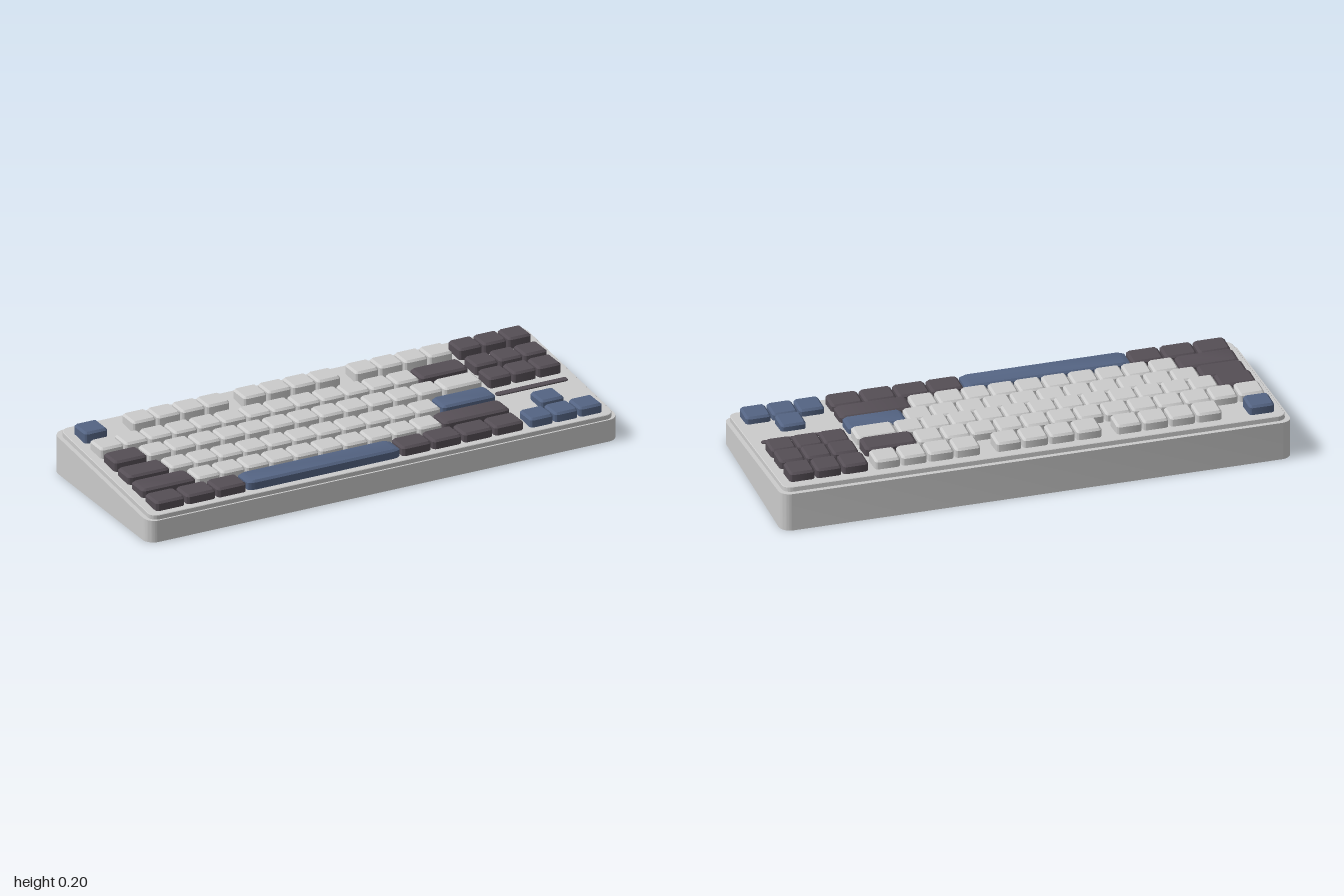
import * as THREE from 'three';
import { toCreasedNormals } from 'three/addons/utils/BufferGeometryUtils.js';

const material = (color) => new THREE.MeshStandardMaterial({ color });
const TILT = THREE.MathUtils.degToRad(5);

// Rounded rectangle slab lying in the xz plane, from y = 0 to y = h, with chamfered rims
function slab(w, d, h, r, bevel = 0, curveSegments = 4) {
  const x = w / 2, z = d / 2;
  const s = new THREE.Shape();
  s.moveTo(-x + r, -z);
  s.lineTo(x - r, -z);
  s.absarc(x - r, -z + r, r, -Math.PI / 2, 0);
  s.lineTo(x, z - r);
  s.absarc(x - r, z - r, r, 0, Math.PI / 2);
  s.lineTo(-x + r, z);
  s.absarc(-x + r, z - r, r, Math.PI / 2, Math.PI);
  s.lineTo(-x, -z + r);
  s.absarc(-x + r, -z + r, r, Math.PI, Math.PI * 1.5);
  const geo = new THREE.ExtrudeGeometry(s, {
    depth: h - 2 * bevel, curveSegments, bevelEnabled: bevel > 0,
    bevelSize: bevel, bevelOffset: -bevel, bevelThickness: bevel, bevelSegments: 1,
  });
  geo.translate(0, 0, bevel);
  geo.rotateX(-Math.PI / 2);
  return geo;
}

export function createModel() {
  const model = new THREE.Group();
  const grey = material(0xcccccc), dark = material(0x554e55), blue = material(0x546483);
  const colors = { g: grey, d: dark, b: blue };

  const add = (name, geo, mat, x = 0, y = 0, z = 0, parent = model) => {
    const mesh = new THREE.Mesh(geo, mat);
    mesh.name = name;
    mesh.position.set(x, y, z);
    parent.add(mesh);
    return mesh;
  };

  // Wedge case: the upper rim drops toward the front
  const caseGeo = slab(2, 0.76, 0.12, 0.045, 0, 8);
  const p = caseGeo.attributes.position;
  for (let i = 0; i < p.count; i++) {
    if (p.getY(i) > 0.06) p.setY(i, 0.1215 - 0.0875 * p.getZ(i));
  }
  add('case', toCreasedNormals(caseGeo, 0.6), grey);

  // Tilted top plate; its upper surface passes through y = 0.14 at z = 0.009
  const plate = add('topPlate', toCreasedNormals(slab(1.965, 0.735, 0.03, 0.035, 0.002, 8), 0.6), grey);
  plate.rotation.x = TILT;
  plate.position.set(0, 0.14 - 0.03 * Math.cos(TILT), 0.009 - 0.03 * Math.sin(TILT));

  // Accent bar between the navigation block and the arrows
  const bar = add('accentBar', toCreasedNormals(slab(0.304, 0.026, 0.02, 0.011, 0.002), 0.6), dark, 0.791, 0.12, 0.07);
  bar.rotation.x = TILT;

  // Keycaps: wider caps have proportionally longer rounded ends
  const PITCH = 0.1045, GAP = 0.0065, LEFT = -0.952, HEIGHT = 0.055;
  const cache = {};
  const keyGeometry = (units) => {
    if (!cache[units]) {
      const stretch = Math.sqrt(units);
      const geo = slab((units * PITCH - GAP) / stretch, 0.098, HEIGHT, 0.015, 0.008);
      geo.scale(stretch, 1, 1);
      cache[units] = toCreasedNormals(geo, 0.6);
    }
    return cache[units];
  };

  // Each run: [start in key units, colour, count, width in key units]
  const nav = [15.2, 'd', 3, 1];
  const rows = [
    { name: 'functionRow', z: -0.264, top: 0.205,
      runs: [[0, 'b', 1, 1], [1.96, 'g', 4, 1], [6.46, 'g', 4, 1], [11, 'g', 4, 1], nav] },
    { name: 'numberRow', z: -0.137, top: 0.191,
      runs: [[0, 'g', 13, 1], [13, 'd', 1, 2], nav] },
    { name: 'upperLetterRow', z: -0.028, top: 0.181,
      runs: [[0, 'd', 1, 1.4], [1.4, 'g', 12, 1], [13.4, 'g', 1, 1.6], nav] },
    { name: 'homeRow', z: 0.081, top: 0.165,
      runs: [[0, 'd', 1, 1.75], [1.75, 'g', 11, 1], [12.75, 'b', 1, 2.25]] },
    { name: 'lowerLetterRow', z: 0.191, top: 0.155,
      runs: [[0, 'd', 1, 2.25], [2.25, 'g', 10, 1], [12.25, 'd', 1, 2.75], [16.2, 'b', 1, 1]] },
    { name: 'spaceRow', z: 0.3, top: 0.147,
      runs: [[0, 'd', 3, 1.25], [3.75, 'b', 1, 6.25], [10, 'd', 4, 1.25], [15.2, 'b', 3, 1]] },
  ];
  for (const { name, z, top, runs } of rows) {
    const row = new THREE.Group();
    row.name = name;
    for (const [start, color, count, width] of runs) {
      for (let i = 0; i < count; i++) {
        const x = LEFT + (start + (i + 0.5) * width) * PITCH;
        add(width > 6 ? 'spaceBar' : 'keycap', keyGeometry(width), colors[color], x, top - HEIGHT, z, row);
      }
    }
    model.add(row);
  }
  return model;
}
